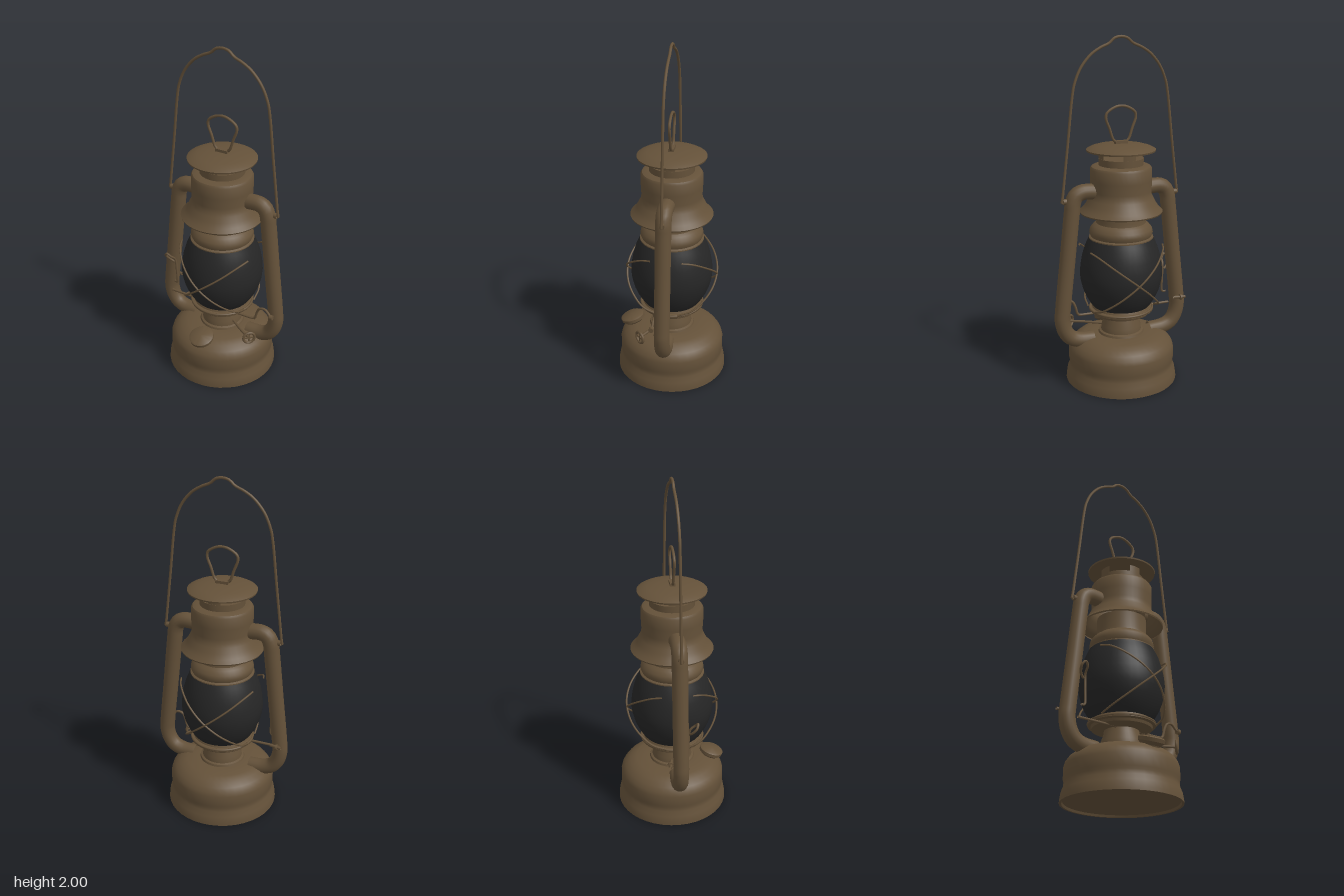
import * as THREE from 'three';
import { toCreasedNormals } from 'three/addons/utils/BufferGeometryUtils.js';

const metal = new THREE.MeshStandardMaterial({ color: 0x645139, side: THREE.DoubleSide });
metal.name = 'brown metal';
const glass = new THREE.MeshStandardMaterial({ color: 0x262626 });
glass.name = 'dark glass';

const v3 = (p) => new THREE.Vector3(p[0], p[1], p[2] ?? 0);

export function createModel() {
  const lantern = new THREE.Group();
  lantern.name = 'lantern';

  function add(name, geometry, material = metal, parent = lantern) {
    const mesh = new THREE.Mesh(geometry, material);
    mesh.name = name;
    parent.add(mesh);
    return mesh;
  }
  // Turned part from [radius, height] pairs, bottom to top
  function turned(name, profile, material = metal, crease = 0.6, parent = lantern) {
    const pts = profile.map(([r, y]) => new THREE.Vector2(r, y));
    return add(name, toCreasedNormals(new THREE.LatheGeometry(pts, 40), crease), material, parent);
  }
  // Round wire or pipe along a smooth path
  function wire(name, points, radius, segments = 40, sides = 8, closed = false) {
    const path = new THREE.CatmullRomCurve3(points.map(v3), closed, 'centripetal');
    return add(name, new THREE.TubeGeometry(path, segments, radius, sides, closed));
  }

  // Fuel tank
  turned('fuelTank', [
    [0, 0.012], [0.31, 0.012], [0.315, 0], [0.327, 0], [0.326, 0.02], [0.32, 0.055], [0.308, 0.085],
    [0.306, 0.11], [0.31, 0.125], [0.31, 0.19], [0.303, 0.213], [0.285, 0.238], [0.255, 0.262],
    [0.215, 0.277], [0.15, 0.283], [0, 0.285],
  ]);

  // Burner collar and globe plate
  turned('burner', [
    [0.135, 0.28], [0.13, 0.295], [0.118, 0.3], [0.115, 0.33], [0.1, 0.37], [0.095, 0.4], [0, 0.4],
  ]);
  turned('globePlate', [
    [0, 0.395], [0.14, 0.395], [0.165, 0.405], [0.17, 0.42], [0.187, 0.425], [0.187, 0.438],
    [0.17, 0.442], [0.165, 0.455], [0, 0.455],
  ]);

  // Glass globe
  turned('globe', [
    [0.155, 0.44], [0.178, 0.468], [0.203, 0.51], [0.224, 0.56], [0.236, 0.61], [0.24, 0.65],
    [0.236, 0.7], [0.226, 0.755], [0.211, 0.805], [0.196, 0.84], [0.186, 0.862],
  ], glass, 1.2);

  // Globe holder and air chamber
  turned('globeHolder', [
    [0, 0.855], [0.186, 0.855], [0.186, 0.868], [0.175, 0.874], [0.183, 0.895], [0.178, 0.918],
    [0.16, 0.94], [0.143, 0.952], [0.14, 0.97], [0.14, 1.06],
  ]);

  // Bell-shaped hood, open underneath
  turned('hood', [
    [0.235, 1.012], [0.238, 1.02], [0.217, 1.04], [0.2, 1.065], [0.185, 1.095], [0.175, 1.115],
    [0.173, 1.14], [0.176, 1.2], [0.176, 1.265], [0.168, 1.278], [0.15, 1.285], [0.128, 1.287],
    [0.128, 1.325], [0.11, 1.325], [0, 1.322],
  ]);

  // Four posts that hold the cap over the vents
  for (let i = 0; i < 4; i++) {
    const width = 0.6;
    add('ventPost', new THREE.CylinderGeometry(0.126, 0.126, 0.07, 6, 1, true, i * Math.PI / 2 - width / 2, width))
      .position.y = 1.345;
  }
  turned('cap', [
    [0, 1.365], [0.135, 1.365], [0.15, 1.372], [0.195, 1.365], [0.197, 1.374], [0.175, 1.386],
    [0.14, 1.396], [0.08, 1.404], [0, 1.407],
  ]);

  // Lifting ring and its bracket
  add('ringBracket', new THREE.BoxGeometry(0.075, 0.024, 0.03)).position.y = 1.41;
  wire('liftingRing', [
    [-0.035, 1.418], [-0.048, 1.432], [-0.068, 1.49], [-0.09, 1.55], [-0.085, 1.578], [-0.04, 1.608],
    [0, 1.616], [0.04, 1.608], [0.085, 1.578], [0.09, 1.55], [0.068, 1.49], [0.048, 1.432], [0.035, 1.418],
  ], 0.008, 60);

  // Carrying handle
  const half = [
    [0.335, 1.1], [0.354, 1.085], [0.348, 1.14], [0.315, 1.42], [0.285, 1.68], [0.272, 1.745],
    [0.235, 1.83], [0.175, 1.9], [0.12, 1.935], [0.07, 1.957], [0.04, 1.983],
  ];
  wire('carryingHandle',
    [...half.map(([x, y]) => [-x, y]), [0, 1.992], ...half.slice().reverse()], 0.008, 120);

  // Air tubes on both sides, with handle lugs
  for (const s of [-1, 1]) {
    wire('airTube', [
      [0.14, 1.14], [0.2, 1.147], [0.24, 1.145], [0.272, 1.128], [0.29, 1.09], [0.298, 1.03],
      [0.33, 0.74], [0.361, 0.46], [0.365, 0.4], [0.352, 0.34], [0.32, 0.293], [0.27, 0.27], [0.18, 0.262],
    ].map(([x, y]) => [s * x, y]), 0.045, 64, 16);
    const lug = add('handleLug', new THREE.CylinderGeometry(0.016, 0.016, 0.03, 10));
    lug.rotation.z = Math.PI / 2;
    lug.position.set(s * 0.333, 1.1, 0);
  }

  // Crossed guard wires at the front and back of the globe
  for (const z of [-1, 1]) {
    for (const s of [-1, 1]) {
      wire('guardWire', [
        [-0.222, 0.815, 0.09], [-0.2, 0.802, 0.145], [-0.13, 0.745, 0.222], [-0.06, 0.69, 0.259],
        [0, 0.642, 0.267], [0.07, 0.583, 0.25], [0.13, 0.525, 0.205], [0.175, 0.475, 0.14], [0.185, 0.445, 0.06],
      ].map(([x, y, d]) => [s * x, y, z * d]), 0.0055, 40, 6);
    }
  }
  add('guardBand', new THREE.TorusGeometry(0.183, 0.007, 8, 40).rotateX(Math.PI / 2)).position.y = 0.435;

  // Globe lifting rod with cranked end
  wire('liftingRod', [
    [-0.33, 0.398, 0.045], [0, 0.398, 0.05], [0.23, 0.398, 0.05], [0.25, 0.402, 0.05], [0.268, 0.455, 0.052],
    [0.285, 0.485, 0.055], [0.32, 0.492, 0.055], [0.345, 0.47, 0.056], [0.365, 0.45, 0.06],
  ], 0.0075, 60);
  const knob = add('rodKnob', new THREE.CylinderGeometry(0.015, 0.015, 0.02, 10));
  knob.rotation.z = Math.PI / 2;
  knob.position.set(0.364, 0.455, 0.06);

  // Rear pivot pin
  wire('pivotPin', [[-0.32, 0.46, -0.05], [-0.39, 0.46, -0.064]], 0.009, 4);
  const pinHead = add('pivotPinHead', new THREE.CylinderGeometry(0.017, 0.017, 0.012, 10));
  pinHead.rotation.z = Math.PI / 2;
  pinHead.position.set(-0.362, 0.46, -0.06);

  // Looped lever beside the right tube
  wire('lever', [
    [-0.31, 0.47, 0.045], [-0.292, 0.472, 0.05], [-0.291, 0.56, 0.052], [-0.297, 0.64, 0.06],
    [-0.305, 0.672, 0.09], [-0.325, 0.692, 0.1], [-0.343, 0.67, 0.09], [-0.33, 0.635, 0.065], [-0.305, 0.615, 0.052],
  ], 0.007, 50);

  // Wick thumbwheel on its stem
  wire('wickStem', [[0.08, 0.328, 0.03], [0.2, 0.328, 0.11], [0.27, 0.328, 0.148]], 0.008, 10);
  const wheel = new THREE.Group();
  wheel.name = 'wickWheel';
  wheel.position.set(0.268, 0.328, 0.146);
  wheel.rotation.y = Math.PI / 4;
  lantern.add(wheel);
  add('wheelRim', new THREE.TorusGeometry(0.034, 0.008, 8, 20), metal, wheel);
  for (let i = 0; i < 2; i++) {
    add('wheelSpoke', new THREE.BoxGeometry(0.064, 0.008, 0.006), metal, wheel).rotation.z = i * Math.PI / 2;
  }

  // Filler neck and cap, tilted forward
  const filler = new THREE.Group();
  filler.name = 'filler';
  filler.position.set(0, 0.292, 0.243);
  filler.rotation.x = 0.3;
  lantern.add(filler);
  turned('fillerCap', [
    [0, -0.07], [0.045, -0.07], [0.05, -0.03], [0.058, -0.022], [0.07, -0.012], [0.072, 0.008],
    [0.062, 0.015], [0, 0.02],
  ], metal, 0.6, filler);

  return lantern;
}
